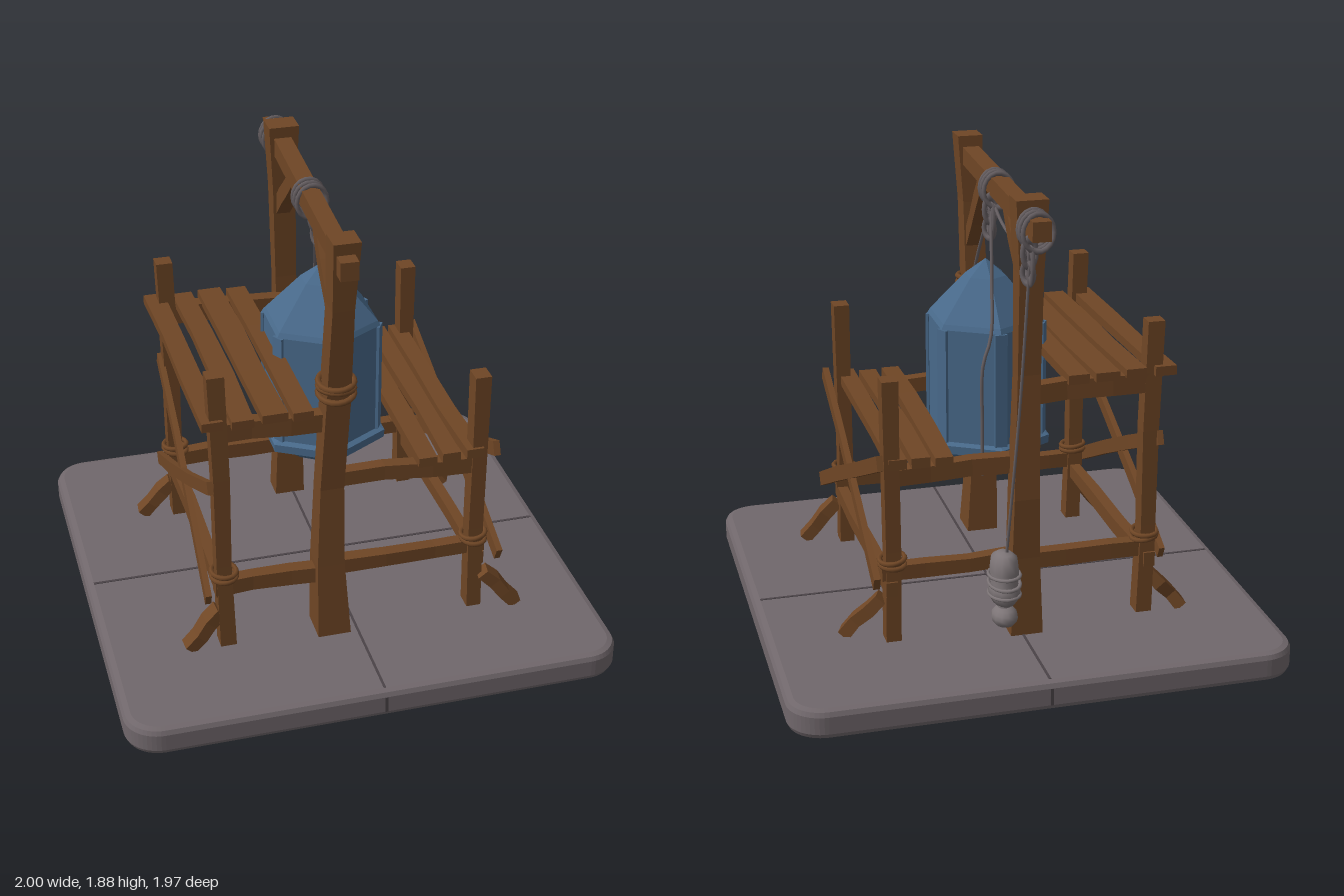
import * as THREE from 'three';

const mat = (name, color) => {
  const m = new THREE.MeshStandardMaterial({ color });
  m.name = name;
  return m;
};

export function createModel() {
  const wood = mat('wood', 0x6f4625);
  const stone = mat('stone', 0x70676b);
  const seam = mat('dark seam', 0x4a4347);
  const blue = mat('blue metal', 0x48698a);
  const rope = mat('grey rope', 0x645d60);
  const sack = mat('pale sack', 0x7c7476);

  const model = new THREE.Group();
  model.name = 'hoistScaffold';
  const V = (p) => new THREE.Vector3(...p);

  const add = (name, geo, material) => {
    const mesh = new THREE.Mesh(geo, material);
    mesh.name = name;
    model.add(mesh);
    return mesh;
  };
  const flat = (geo) => {
    const g = geo.index ? geo.toNonIndexed() : geo;
    g.computeVertexNormals();
    return g;
  };

  // Seeded wobble for hand-hewn timber
  let seed = 7;
  const rnd = () => ((seed = (seed * 16807) % 2147483647) / 2147483647) * 2 - 1;

  // Rectangular timber between two points: w sideways, h upwards
  function beam(name, a, b, w, h, wobble = 0.006) {
    const A = V(a), B = V(b), d = B.clone().sub(A), len = d.length();
    d.normalize();
    const ref = Math.abs(d.y) > 0.95 ? new THREE.Vector3(0, 0, 1) : new THREE.Vector3(0, 1, 0);
    const side = d.clone().cross(ref).normalize();
    const up = side.clone().cross(d);
    const geo = new THREE.BoxGeometry(w, len, h, 1, 3, 1);
    const shift = [0, 1, 2, 3].map(() => [rnd() * wobble, rnd() * wobble, 1 + rnd() * wobble * 12]);
    const p = geo.attributes.position;
    for (let i = 0; i < p.count; i++) {
      const [sx, sz, k] = shift[Math.round((p.getY(i) / len + 0.5) * 3)];
      p.setX(i, p.getX(i) * k + sx);
      p.setZ(i, p.getZ(i) * k + sz);
    }
    geo.applyMatrix4(new THREE.Matrix4().makeBasis(side, d, up).setPosition(A.add(B).multiplyScalar(0.5)));
    return add(name, flat(geo), wood);
  }

  // Upright timber through rows of [y, centre x, centre z, width, depth]
  function post(name, rows) {
    const n = rows.length - 1;
    const geo = new THREE.BoxGeometry(1, 1, 1, 1, n, 1);
    const p = geo.attributes.position;
    for (let i = 0; i < p.count; i++) {
      const [y, x, z, w, d] = rows[Math.round((p.getY(i) + 0.5) * n)];
      p.setXYZ(i, x + p.getX(i) * w, y, z + p.getZ(i) * d);
    }
    return add(name, flat(geo), wood);
  }

  const cord = (name, pts, r = 0.007, material = rope) =>
    add(name, new THREE.TubeGeometry(new THREE.CatmullRomCurve3(pts.map(V), false, 'centripetal'), 24, r, 6), material);

  function ring(name, pos, rx, ry, tube, material, rot = [0, 0, 0]) {
    const geo = new THREE.TorusGeometry(1, tube / Math.min(rx, ry), 6, 18);
    geo.scale(rx, ry, Math.min(rx, ry));
    const mesh = add(name, geo, material);
    mesh.position.set(...pos);
    mesh.rotation.set(...rot);
    return mesh;
  }

  // Stone base with rounded corners and a soft edge
  const s = new THREE.Shape(), e = 0.965, r = 0.11;
  s.moveTo(-e + r, -e);
  s.lineTo(e - r, -e);
  s.absarc(e - r, -e + r, r, -Math.PI / 2, 0);
  s.absarc(e - r, e - r, r, 0, Math.PI / 2);
  s.absarc(-e + r, e - r, r, Math.PI / 2, Math.PI);
  s.absarc(-e + r, -e + r, r, Math.PI, Math.PI * 1.5);
  const slab = new THREE.ExtrudeGeometry(s, {
    depth: 0.07, bevelEnabled: true, bevelThickness: 0.025, bevelSize: 0.03, bevelSegments: 2, curveSegments: 6,
  });
  slab.rotateX(-Math.PI / 2).translate(0, 0.025, -0.003);
  slab.scale(1.005, 1, 0.99);
  add('base', slab, stone);

  // Seams between the paving slabs
  add('seamAcross', new THREE.BoxGeometry(1.94, 0.004, 0.012), seam).position.set(0, 0.12, -0.015);
  add('seamAlong', new THREE.BoxGeometry(0.01, 0.004, 1.91), seam).position.set(0.01, 0.12, -0.003);
  for (const z of [0.981, -0.987])
    add('seamEnd', new THREE.BoxGeometry(0.012, 0.07, 0.006), seam).position.set(0.01, 0.06, z);

  // Main posts and top beam
  post('frontPost', [
    [0.11, -0.088, 0.505, 0.135, 0.15], [0.45, -0.1, 0.505, 0.11, 0.12], [0.8, -0.093, 0.5, 0.095, 0.1],
    [1.2, -0.075, 0.52, 0.095, 0.105], [1.6, -0.068, 0.555, 0.085, 0.1], [1.88, -0.06, 0.57, 0.105, 0.105],
  ]);
  post('backPost', [
    [0.11, -0.005, -0.533, 0.13, 0.105], [0.45, 0, -0.535, 0.11, 0.1], [0.7, 0, -0.54, 0.1, 0.105],
    [1.2, -0.01, -0.535, 0.09, 0.075], [1.6, -0.015, -0.535, 0.095, 0.09], [1.88, -0.015, -0.533, 0.125, 0.105],
  ]);
  beam('topBeam', [-0.065, 1.795, 0.68], [-0.012, 1.795, -0.72], 0.07, 0.075, 0.003);
  beam('frontKnee', [-0.065, 1.44, 0.51], [-0.05, 1.77, 0.2], 0.055, 0.065);
  beam('backKnee', [-0.015, 1.52, -0.51], [-0.035, 1.77, -0.22], 0.055, 0.065);

  // Corner legs with splayed feet
  for (const z of [0.5, -0.475]) {
    const f = Math.sign(z);
    post('tallLeg', [
      [0.11, -0.515, z, 0.065, 0.075], [0.5, -0.525, z, 0.06, 0.07],
      [0.9, -0.525, z, 0.065, 0.07], [1.35, -0.537, z, 0.068, 0.065],
    ]);
    post('shortLeg', [
      [0.11, 0.515, z, 0.06, 0.075], [0.5, 0.51, z, 0.06, 0.07],
      [0.85, 0.512, z, 0.06, 0.075], [1.2, 0.513, z, 0.065, 0.075],
    ]);
    beam('leftFoot', [-0.54, 0.28, z], [-0.675, 0.125, z + f * 0.01], 0.065, 0.05);
    beam('rightFoot', [0.55, 0.29, z + 0.03], [0.69, 0.125, f > 0 ? 0.55 : -0.385], 0.065, 0.05);

    // Cross rails joining the legs to the main posts
    const m = f > 0 ? -0.1 : 0;
    beam('leftUpperRail', [-0.55, 1.1, z], [m, 1.09, z], 0.055, 0.075);
    beam('leftLowerRail', [-0.56, 0.395, z], [m, 0.395, z], 0.055, 0.065);
    beam('rightUpperRail', [m + 0.03, 0.82, z], [0.52, 0.805, z], 0.055, 0.065);
    beam('rightLowerRail', [m + 0.03, 0.41, z], [0.555, 0.405, z], 0.055, 0.06);

    // Lashings on the legs
    for (const x of [-0.52, 0.51])
      for (const k of [0, 1])
        ring('legLashing', [x, 0.44 + k * 0.022, z], 0.05, 0.052, 0.01, wood, [Math.PI / 2 + 0.15 * rnd(), 0.15 * rnd(), 0]);
  }

  // Lower rails and crossed braces on both sides
  for (const side of [-1, 1]) {
    const x = 0.525 * side;
    beam('sideRail', [x, 0.345, 0.53], [x, 0.35, -0.52], 0.045, 0.06);
    beam('sideBrace', [0.575 * side, 0.88, 0.55], [0.585 * side, 0.38, -0.52], 0.025, 0.055);
    beam('sideBrace', [0.595 * side, 0.38, 0.57], [0.56 * side, 0.88, -0.52], 0.025, 0.06);
  }

  // Platform planks
  [[-0.568, 0.08], [-0.448, 0.088], [-0.33, 0.098], [-0.215, 0.078]].forEach(([x, w], i) =>
    beam('highPlank', [x + 0.01, 1.15, 0.55], [x - 0.005, 1.148, -0.53 + 0.01 * (i % 2)], w, 0.036));
  [[0.3, 0.075], [0.393, 0.07], [0.487, 0.07]].forEach(([x, w], i) =>
    beam('lowPlank', [x, 0.865, 0.55 - 0.01 * (i % 2)], [x + 0.006, 0.865, -0.52], w, 0.04));

  // Rope wraps on the front post
  [[1.22, 0.1], [1.245, -0.12], [1.27, 0.06]].forEach(([y, t]) =>
    ring('postLashing', [-0.074, y, 0.526], 0.068, 0.075, 0.012, wood, [Math.PI / 2 + t, t * 0.5, 0]));

  // Six-sided blue vessel: pointed roof, body, rim and pointed base
  const vessel = new THREE.LatheGeometry([
    [0.001, 0.58], [0.12, 0.65], [0.225, 0.735], [0.265, 0.74], [0.268, 0.775], [0.244, 0.785],
    [0.244, 1.255], [0.232, 1.275], [0.085, 1.435], [0.001, 1.5],
  ].map(([x, y]) => new THREE.Vector2(x, y)), 6);
  vessel.translate(0.01, 0, 0.002);
  add('vessel', flat(vessel), blue);
  // Corner ribs of the vessel
  for (let i = 0; i < 6; i++) {
    const a = (i * Math.PI) / 3;
    const rib = add('vesselRib', new THREE.BoxGeometry(0.05, 0.47, 0.012), blue);
    rib.position.set(0.01 + Math.sin(a) * 0.24, 1.02, Math.cos(a) * 0.24);
    rib.rotation.y = a;
  }

  // Rope loops over the beam with hanging rings
  for (const [x, z] of [[-0.035, 0], [-0.012, -0.64]]) {
    for (const dz of [-0.032, 0, 0.032])
      ring('beamLoop', [x, 1.78, z + dz], 0.06, 0.07, 0.009, rope, [0.1 * rnd(), 0.15 * rnd(), 0]);
    for (const dz of [-0.024, 0.024])
      ring('hangingRing', [x + 0.025, 1.655, z + dz], 0.026, 0.06, 0.009, rope, [0, Math.PI / 2, 0]);
    ring('hangingRing', [x + 0.03, 1.62, z], 0.03, 0.04, 0.01, rope, [0, Math.PI / 2 + 0.5, 0]);
    ring('hangingRing', [x + 0.025, 1.7, z], 0.026, 0.05, 0.01, rope);
  }

  // Sling and loose ropes
  cord('slingFront', [[-0.01, 1.7, 0.01], [0.005, 1.47, 0.15], [0.01, 1.28, 0.25], [0.01, 1.2, 0.252]]);
  cord('slingBack', [[-0.01, 1.7, -0.01], [0.02, 1.47, -0.13], [0.05, 1.25, -0.235], [0.09, 1.14, -0.262], [0.092, 0.9, -0.26], [0.092, 0.68, -0.262]]);
  cord('slackRope', [[-0.02, 1.72, -0.02], [-0.02, 1.68, -0.13], [-0.02, 1.66, -0.28], [-0.015, 1.7, -0.5]]);
  cord('weightRope', [[0.015, 1.65, -0.65], [0.05, 1.1, -0.655], [0.1, 0.5, -0.655]], 0.006);

  // Counterweight sack with a lower bundle
  const bag = new THREE.LatheGeometry([
    [0.001, 0.31], [0.06, 0.315], [0.085, 0.345], [0.085, 0.38], [0.072, 0.395], [0.078, 0.45],
    [0.07, 0.5], [0.04, 0.518], [0.001, 0.522],
  ].map(([x, y]) => new THREE.Vector2(x, y)), 12);
  bag.scale(0.72, 1, 1);
  add('weightSack', bag, sack).position.set(0.108, 0, -0.655);
  for (const y of [0.35, 0.395, 0.43])
    ring('sackCord', [0.108, y, -0.655], 0.06, 0.084, 0.007, sack, [Math.PI / 2 + 0.12 * rnd(), 0, 0]);
  add('sackNeck', new THREE.CylinderGeometry(0.025, 0.025, 0.05, 8), sack).position.set(0.108, 0.3, -0.66);
  const lump = new THREE.SphereGeometry(1, 12, 8);
  lump.scale(0.052, 0.044, 0.066);
  add('lowerBundle', lump, sack).position.set(0.108, 0.255, -0.66);

  return model;
}
